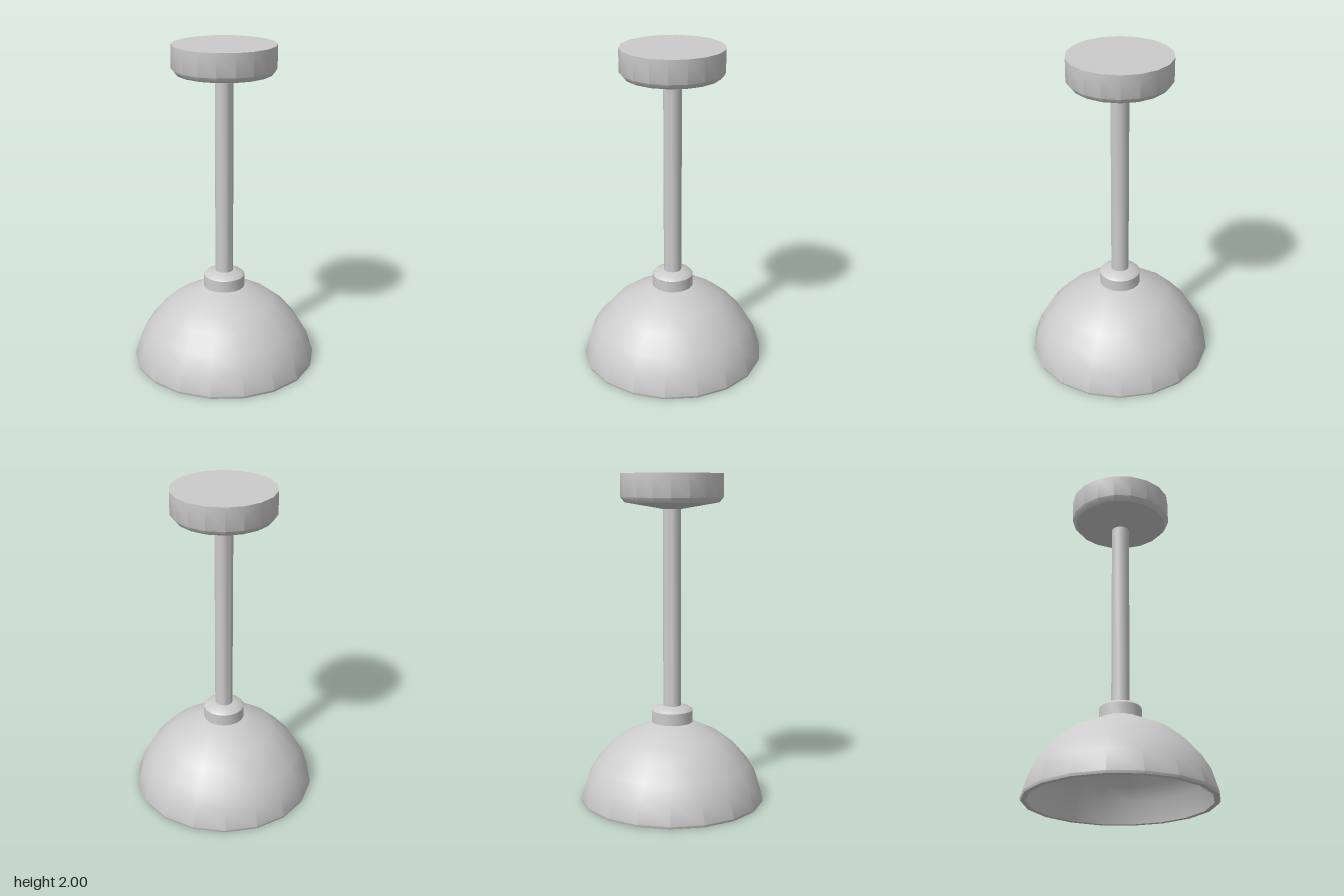
import * as THREE from 'three';
import { toCreasedNormals } from 'three/addons/utils/BufferGeometryUtils.js';

const SIDES = 18;

export function createModel() {
  const lamp = new THREE.Group();
  lamp.name = 'pendantLamp';
  const material = new THREE.MeshStandardMaterial({ color: 0xcccccc });

  // Turned part from [radius, height] pairs, with a corner on the x axis
  function turned(name, profile, crease = 0.7) {
    const points = profile.map(([r, y]) => new THREE.Vector2(r, y));
    const lathe = new THREE.LatheGeometry(points, SIDES, Math.PI / 2);
    const mesh = new THREE.Mesh(toCreasedNormals(lathe, crease), material);
    mesh.name = name;
    lamp.add(mesh);
  }

  // Ceiling canopy with a bevelled, shallow conical underside
  turned('canopy', [[0, 1.79], [0.055, 1.79], [0.285, 1.83], [0.31, 1.86], [0.31, 2], [0, 2]]);

  // Hanging rod
  turned('rod', [[0, 0.56], [0.055, 0.56], [0.055, 1.81], [0, 1.81]]);

  // Collar joining rod and shade
  turned('collar', [[0, 0.47], [0.127, 0.47], [0.127, 0.56], [0.112, 0.575], [0.055, 0.59], [0, 0.59]]);

  // Domed shade: down the inside, round the rim, up the outside
  turned('shade', [
    [0, 0.465], [0.12, 0.46], [0.295, 0.375], [0.365, 0.315], [0.455, 0.215], [0.505, 0.135], [0.535, 0],
    [0.565, 0], [0.57, 0.015], [0.53, 0.145], [0.48, 0.23], [0.385, 0.34], [0.307, 0.4], [0.127, 0.487], [0, 0.487],
  ]);

  // Round bulb under the collar
  const bulb = new THREE.Mesh(new THREE.SphereGeometry(0.145, SIDES, 12), material);
  bulb.name = 'bulb';
  bulb.position.y = 0.38;
  bulb.scale.y = 0.98;
  lamp.add(bulb);

  return lamp;
}
